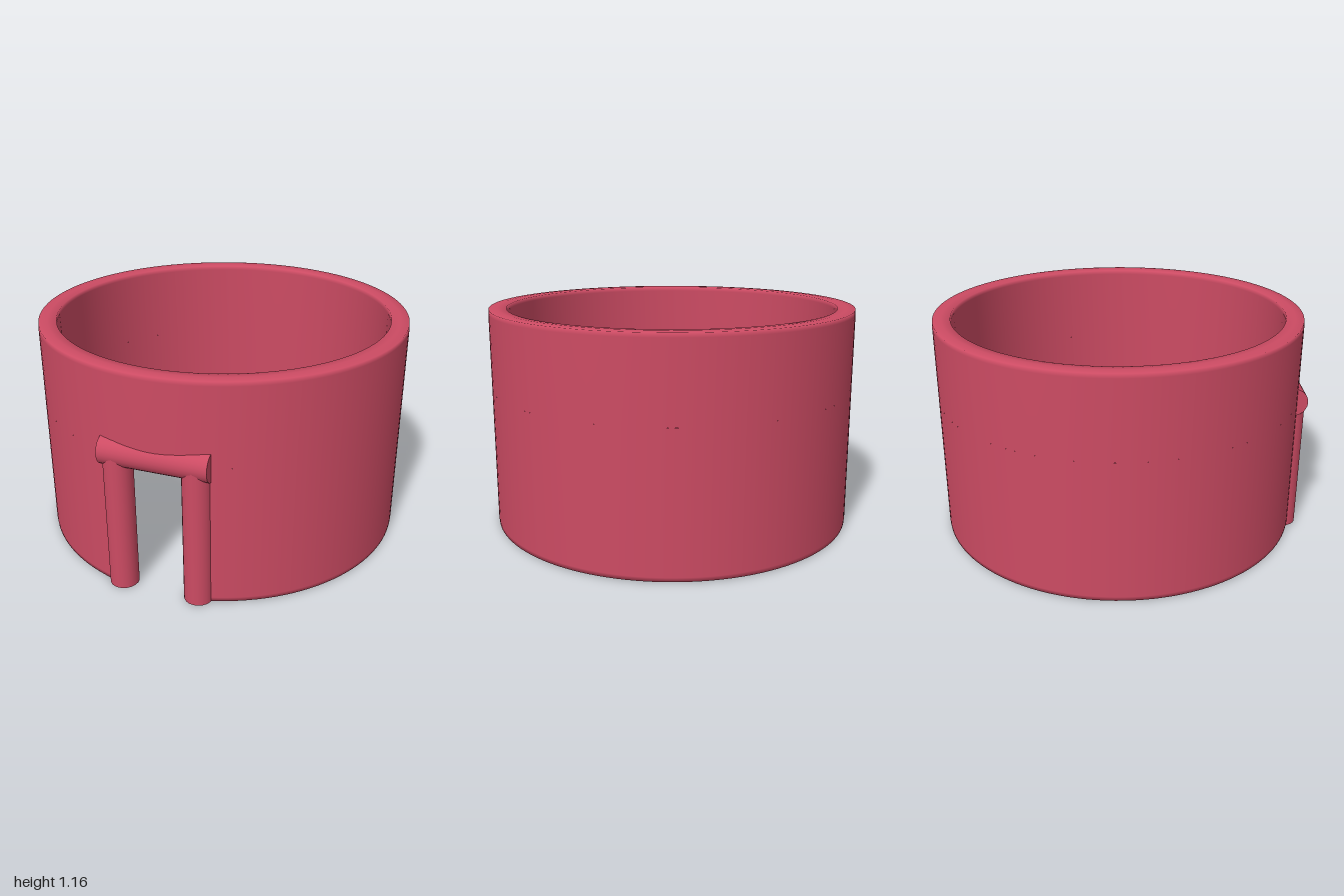
import * as THREE from 'three';

export function createModel() {
  const model = new THREE.Group();
  const material = new THREE.MeshStandardMaterial({ color: 0xcc4b63, side: THREE.DoubleSide });
  const add = (parent, name, geometry, x = 0, y = 0, z = 0) => {
    const mesh = new THREE.Mesh(geometry, material);
    mesh.name = name;
    mesh.position.set(x, y, z);
    parent.add(mesh);
    return mesh;
  };

  const outer = 0.972, inner = 0.877, height = 1.165, edge = 0.025;
  const split = 0.74;        // height of the lintel axis
  const doorAngle = -0.2145; // direction of the doorway around the ring
  const doorHalf = 0.219;    // half the opening angle
  const V = (x, y) => new THREE.Vector2(x, y);

  const tower = new THREE.Group();
  tower.name = 'roundWall';
  tower.position.z = -0.03;
  model.add(tower);

  // Full ring above the doorway, softly shaded at the rim
  add(tower, 'upperWall', new THREE.LatheGeometry([
    V(outer, split), V(outer, height - edge), V(outer - 0.002, height - 0.003),
    V((outer + inner) / 2, height), V(inner + 0.002, height - 0.003),
    V(inner, height - edge), V(inner, split),
  ], 128));

  // Lower ring, open at the doorway
  add(tower, 'lowerWall', new THREE.LatheGeometry([
    V(inner, split), V(inner, edge), V(inner + 0.002, 0.003),
    V((outer + inner) / 2, 0), V(outer - 0.002, 0.003),
    V(outer, edge), V(outer, split),
  ], 120, doorAngle + doorHalf, Math.PI * 2 - 2 * doorHalf));

  // Door frame: two round posts under a round lintel
  const door = new THREE.Group();
  door.name = 'doorFrame';
  door.rotation.y = doorAngle;
  tower.add(door);
  const depth = 0.915;
  for (const side of [-1, 1]) {
    add(door, side < 0 ? 'rightPost' : 'leftPost',
      new THREE.CylinderGeometry(0.073, 0.073, split - 0.01, 20),
      side * 0.2, (split - 0.01) / 2, depth);
  }
  add(door, 'lintel', new THREE.CylinderGeometry(0.075, 0.075, 0.55, 24), 0, split, depth)
    .rotation.z = Math.PI / 2;

  return model;
}
